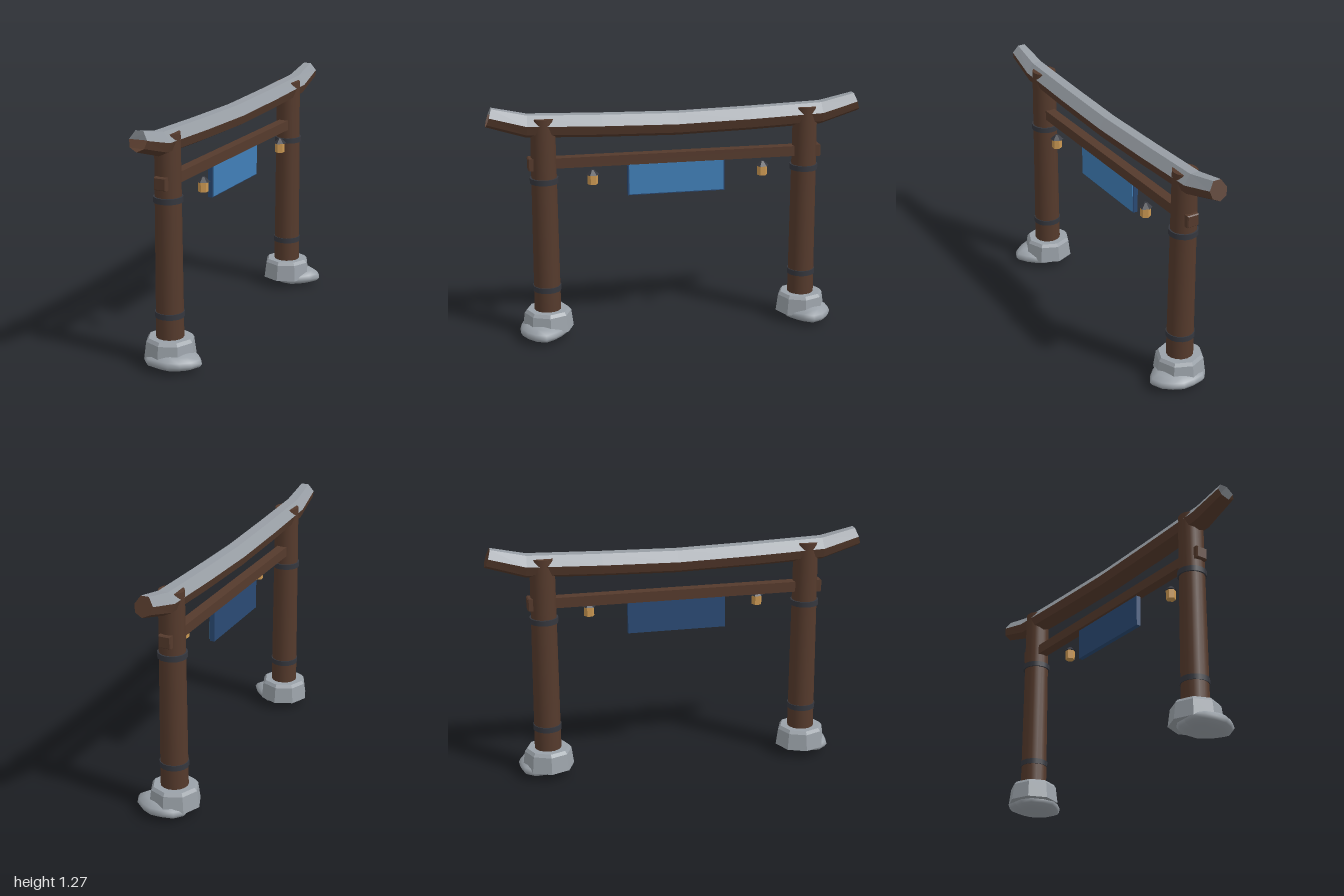
import * as THREE from 'three';

const AXIS_X = -0.027; // the gate stands slightly off centre because of the boulders
const POST_Z = 0.705;

function material(name, color, side = THREE.FrontSide) {
  const m = new THREE.MeshStandardMaterial({ color, side });
  m.name = name;
  return m;
}

export function createModel() {
  const wood = material('brown wood', 0x553a2c, THREE.DoubleSide);
  const slate = material('grey roof', 0x979da4, THREE.DoubleSide);
  const stone = material('grey stone', 0x9aa1a8);
  const iron = material('dark iron', 0x35373e);
  const blue = material('blue panel', 0x407fb8);
  const navy = material('navy board', 0x2a4a74);
  const gold = material('lantern gold', 0xcb9852);

  const model = new THREE.Group();
  const add = (parent, name, geometry, mat, x, y, z) => {
    const mesh = new THREE.Mesh(geometry, mat);
    mesh.name = name;
    mesh.position.set(x, y, z);
    parent.add(mesh);
    return mesh;
  };
  const flat = (g) => {
    const f = g.index ? g.toNonIndexed() : g;
    f.computeVertexNormals();
    return f;
  };

  // Top lintel: seven-sided section swept along a sagging line with raised ends
  const section = [[0, -0.064], [0.05, -0.04], [0.063, 0.008], [0.027, 0.061],
    [-0.027, 0.061], [-0.063, 0.008], [-0.05, -0.04]];
  const half = [[0, 1.149, 1, 0], [0.4, 1.158, 1, 0], [0.79, 1.172, 0.98, -0.05], [0.985, 1.225, 0.78, -0.33]];
  const stations = [
    ...half.slice(1).reverse().map(([z, y, s, t]) => [-z, y, s, -t]),
    ...half,
  ];
  const rings = stations.map(([z, y, s, tilt]) =>
    section.map(([px, py]) => [px * s, y + py * s, z + py * s * tilt]));
  const sweep = (faces, withCap) => {
    const p = [];
    for (let k = 0; k < rings.length - 1; k++) {
      for (const i of faces) {
        const j = (i + 1) % section.length;
        const a = rings[k][i], b = rings[k][j], c = rings[k + 1][j], d = rings[k + 1][i];
        p.push(...a, ...b, ...c, ...a, ...c, ...d);
      }
    }
    if (withCap) {
      const r = rings[0];
      for (let i = 1; i < r.length - 1; i++) p.push(...r[0], ...r[i + 1], ...r[i]);
    }
    const g = new THREE.BufferGeometry();
    g.setAttribute('position', new THREE.Float32BufferAttribute(p, 3));
    g.computeVertexNormals();
    return g;
  };
  add(model, 'lintelRoof', sweep([2, 3, 4], false), slate, AXIS_X, 0, 0);
  add(model, 'lintelUnderside', sweep([0, 1, 5, 6], true), wood, AXIS_X, 0, 0);

  // Foot stone profile and the boulder squashed beneath it
  const footGeometry = flat(new THREE.LatheGeometry(
    [[0, 0.05], [0.138, 0.05], [0.126, 0.14], [0.113, 0.157], [0, 0.157]]
      .map(([r, y]) => new THREE.Vector2(r, y)), 8));
  const boulder = (side) => {
    const g = new THREE.SphereGeometry(1, 14, 8);
    const p = g.attributes.position;
    for (let i = 0; i < p.count; i++) {
      const x = p.getX(i), y = p.getY(i), z = p.getZ(i);
      const a = Math.atan2(z, x);
      const r = 1 + 0.06 * Math.sin(3 * a + 1) + 0.04 * Math.cos(5 * a);
      const lump = y > 0 ? 1 + 0.18 * Math.sin(2.5 * x + 2 * z) : 1;
      p.setXYZ(i, x * r * 0.148, y * lump * 0.046, z * r * 0.13 * side);
    }
    if (side < 0) { // mirrored copy needs its corners reversed
      const ix = g.index.array;
      for (let i = 0; i < ix.length; i += 3) [ix[i], ix[i + 1]] = [ix[i + 1], ix[i]];
    }
    g.computeVertexNormals();
    return g;
  };

  // Posts with iron bands, stone feet and tie-beam ends
  for (const side of [1, -1]) {
    const post = new THREE.Group();
    post.name = side > 0 ? 'frontPost' : 'backPost';
    post.position.set(AXIS_X, 0, side * POST_Z);
    model.add(post);
    add(post, 'shaft', new THREE.CylinderGeometry(0.065, 0.072, 1.09, 16), wood, 0, 0.667, 0);
    for (const y of [0.279, 0.877]) {
      add(post, 'band', new THREE.CylinderGeometry(0.0755, 0.0755, 0.029, 16), iron, 0, y, 0);
    }
    add(post, 'footStone', footGeometry, stone, 0, 0, 0);
    add(post, 'boulder', boulder(side), stone, 0.035, 0.05, side * 0.03);

    // Tie-beam end block with a chamfered face
    const s = new THREE.Shape([[-0.028, -0.028], [0.028, -0.028], [0.028, 0.028], [-0.028, 0.028]]
      .map(([x, y]) => new THREE.Vector2(x, y)));
    const block = new THREE.ExtrudeGeometry(s, {
      depth: 0.03, bevelEnabled: true, bevelThickness: 0.006, bevelSize: 0.005, bevelSegments: 1,
    });
    block.translate(0, 0, -0.015);
    add(post, 'tieBeamEnd', block, wood, 0, 0.968, side * 0.064);
  }

  // Tie beam
  add(model, 'tieBeam', new THREE.BoxGeometry(0.055, 0.055, 1.5), wood, AXIS_X, 0.969, 0);

  // Hanging board with a blue face
  add(model, 'board', new THREE.BoxGeometry(0.026, 0.175, 0.525), navy, AXIS_X, 0.857, 0);
  add(model, 'boardFace', new THREE.BoxGeometry(0.006, 0.163, 0.511), blue, AXIS_X + 0.015, 0.857, 0);

  // Lanterns
  for (const side of [1, -1]) {
    const lantern = new THREE.Group();
    lantern.name = 'lantern';
    lantern.position.set(0.036, 0, side * 0.457);
    model.add(lantern);
    add(lantern, 'lanternBody', flat(new THREE.CylinderGeometry(0.027, 0.027, 0.052, 6)), gold, 0, 0.885, 0);
    add(lantern, 'lanternRoof', flat(new THREE.CylinderGeometry(0.008, 0.036, 0.026, 6)), iron, 0, 0.923, 0);
  }
  return model;
}
